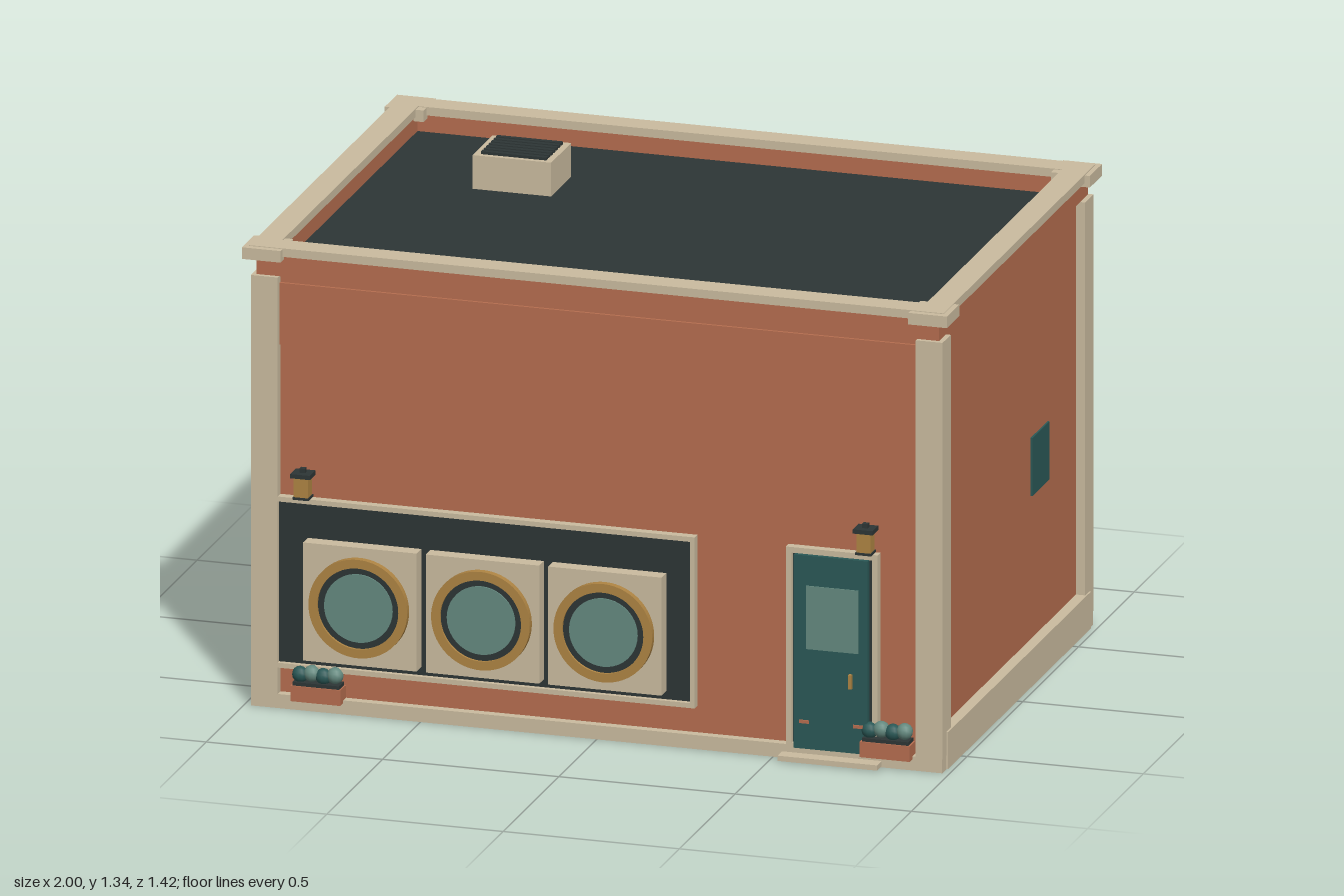
import * as THREE from 'three';

const mat = (name, color) => {
  const m = new THREE.MeshStandardMaterial({ color });
  m.name = name;
  return m;
};

export function createModel() {
  const stone = mat('stone', 0xcabb9f);
  const brick = mat('brick', 0xb56d4f);
  const dark = mat('charcoal', 0x2d3535);
  const teal = mat('teal', 0x2a5856);
  const glass = mat('glass', 0x64897f);
  const gold = mat('brass', 0xae8443);

  const root = new THREE.Group();
  root.name = 'laundryShop';

  const group = (name, x = 0, y = 0, z = 0) => {
    const g = new THREE.Group();
    g.name = name;
    g.position.set(x, y, z);
    root.add(g);
    return g;
  };
  const add = (parent, name, geometry, material) => {
    const m = new THREE.Mesh(geometry, material);
    m.name = name;
    parent.add(m);
    return m;
  };
  // Box given by its limits on each axis
  const box = (parent, name, material, x0, x1, y0, y1, z0, z1) => {
    const m = add(parent, name, new THREE.BoxGeometry(x1 - x0, y1 - y0, z1 - z0), material);
    m.position.set((x0 + x1) / 2, (y0 + y1) / 2, (z0 + z1) / 2);
    return m;
  };
  // Rectangular rim standing on y0, open in the middle
  const rim = (parent, name, material, X, zBack, zFront, w, y0, y1) => {
    for (const s of [-1, 1]) {
      const a = s * X, b = s * (X - w);
      box(parent, name, material, Math.min(a, b), Math.max(a, b), y0, y1, zBack, zFront);
    }
    box(parent, name, material, w - X, X - w, y0, y1, zBack, zBack + w);
    box(parent, name, material, w - X, X - w, y0, y1, zFront - w, zFront);
  };
  // Upright rectangular frame facing z
  const frame = (parent, name, material, x0, x1, y0, y1, z0, z1, w) => {
    box(parent, name, material, x0, x0 + w, y0, y1, z0, z1);
    box(parent, name, material, x1 - w, x1, y0, y1, z0, z1);
    box(parent, name, material, x0 + w, x1 - w, y1 - w, y1, z0, z1);
    box(parent, name, material, x0 + w, x1 - w, y0, y0 + w, z0, z1);
  };

  // Shell: slab, walls, plinths, corner posts
  const shell = group('shell');
  box(shell, 'baseSlab', stone, -0.98, 0.98, 0, 0.04, -0.695, 0.66);
  box(shell, 'walls', brick, -0.955, 0.955, 0.04, 1.23, -0.668, 0.635);
  box(shell, 'signBand', brick, -0.906, 0.906, 1.03, 1.205, 0.63, 0.643);
  for (const s of [-1, 1]) {
    const cx = s * 0.97;
    box(shell, 'sidePlinth', stone, cx - 0.016, cx + 0.016, 0.002, 0.107, -0.655, 0.625);
    for (const [z0, z1] of [[0.586, 0.66], [-0.695, -0.62]]) {
      const px = s * 0.943;
      box(shell, 'cornerPost', stone, px - 0.038, px + 0.038, 0.04, 1.225, z0, z1);
    }
    // Small plate on the side wall
    const wx = s * 0.957;
    box(shell, 'sidePanel', teal, wx - 0.004, wx + 0.004, 0.515, 0.68, -0.365, -0.212);
  }

  // Roof: deck, parapet, coping and corner blocks
  const roof = group('roof');
  box(roof, 'roofDeck', dark, -0.93, 0.93, 1.228, 1.236, -0.65, 0.61);
  rim(roof, 'parapet', brick, 0.968, -0.687, 0.65, 0.05, 1.226, 1.288);
  rim(roof, 'coping', stone, 0.985, -0.7, 0.662, 0.072, 1.286, 1.31);
  for (const s of [-1, 1]) {
    for (const z of [0.625, -0.657]) {
      box(roof, 'copingCorner', stone, s * 0.945 - 0.055, s * 0.945 + 0.055,
        1.275, 1.308, z - 0.055, z + 0.055);
    }
  }

  // Roof vent with dark slats
  const vent = group('roofVent');
  box(vent, 'ventBox', stone, -0.625, -0.402, 1.235, 1.332, -0.383, -0.203);
  for (let i = 0; i < 7; i++) {
    const z = -0.36 + i * 0.0225;
    box(vent, 'ventSlat', dark, -0.606, -0.42, 1.33, 1.34, z - 0.007, z + 0.007);
  }

  // Shop window with its surround
  const shop = group('shopWindow');
  box(shop, 'displayPanel', dark, -0.91, 0.27, 0.125, 0.59, 0.63, 0.646);
  frame(shop, 'windowSurround', stone, -0.92, 0.278, 0.115, 0.602, 0.63, 0.66, 0.014);

  // Three washing machine fronts
  const flatDisc = (r, h) => new THREE.CylinderGeometry(r, r, h, 40).rotateX(Math.PI / 2);
  for (const x of [-0.663, -0.315, 0.032]) {
    const w = group('washer', x, 0.32, 0);
    box(w, 'washerBody', stone, -0.161, 0.161, -0.168, 0.168, 0.64, 0.688);
    const shape = new THREE.Shape().absarc(0, 0, 0.14, 0, Math.PI * 2);
    shape.holes.push(new THREE.Path().absarc(0, 0, 0.115, 0, Math.PI * 2, true));
    const ring = add(w, 'doorRing', new THREE.ExtrudeGeometry(shape,
      { depth: 0.021, bevelEnabled: false, curveSegments: 40 }), gold);
    ring.position.z = 0.686;
    add(w, 'doorSeal', flatDisc(0.116, 0.014), dark).position.z = 0.692;
    add(w, 'doorGlass', flatDisc(0.097, 0.008), glass).position.z = 0.699;
  }

  // Entrance door, casing and step
  const door = group('entrance');
  frame(door, 'doorCasing', stone, 0.537, 0.797, 0.03, 0.602, 0.63, 0.66, 0.016);
  box(door, 'doorRecess', dark, 0.55, 0.785, 0.04, 0.59, 0.63, 0.65);
  box(door, 'doorLeaf', teal, 0.562, 0.771, 0.035, 0.585, 0.64, 0.67);
  box(door, 'doorPane', glass, 0.598, 0.746, 0.32, 0.5, 0.667, 0.673);
  box(door, 'doorHandle', gold, 0.72, 0.729, 0.22, 0.26, 0.668, 0.682);
  for (const x of [0.592, 0.745]) {
    box(door, 'doorFitting', brick, x - 0.014, x + 0.014, 0.108, 0.117, 0.668, 0.674);
  }
  box(door, 'doorStep', stone, 0.526, 0.808, 0.003, 0.018, 0.62, 0.7);

  // Wall lanterns
  for (const x of [-0.83, 0.766]) {
    const l = group('lantern', x, 0, 0);
    box(l, 'lanternBracket', dark, -0.012, 0.012, 0.625, 0.675, 0.63, 0.665);
    box(l, 'lanternBase', dark, -0.023, 0.023, 0.608, 0.615, 0.65, 0.692);
    box(l, 'lanternLight', gold, -0.02, 0.02, 0.615, 0.672, 0.652, 0.69);
    box(l, 'lanternCap', dark, -0.028, 0.028, 0.67, 0.682, 0.645, 0.697);
    box(l, 'lanternFinial', dark, -0.008, 0.008, 0.682, 0.694, 0.662, 0.678);
  }

  // Planters with round bushes
  for (const x of [-0.79, 0.825]) {
    const p = group('planter', x, 0, 0);
    box(p, 'planterBox', brick, -0.071, 0.071, 0.032, 0.076, 0.635, 0.686);
    box(p, 'planterSoil', dark, -0.066, 0.066, 0.074, 0.086, 0.638, 0.682);
    for (let i = 0; i < 4; i++) {
      const bush = add(p, 'bush', new THREE.SphereGeometry(0.023, 12, 8), i % 2 ? glass : teal);
      bush.position.set(-0.05 + i * 0.033, 0.104 + (i % 2) * 0.005, 0.661);
    }
  }

  // Back windows with crossbars and sills
  for (const x of [-0.555, 0.555]) {
    const w = group('backWindow', x, 0, 0);
    frame(w, 'windowFrame', stone, -0.137, 0.137, 0.6, 0.905, -0.692, -0.66, 0.02);
    box(w, 'windowSash', dark, -0.12, 0.12, 0.615, 0.89, -0.682, -0.66);
    for (const sx of [-1, 1]) {
      for (const y of [0.694, 0.822]) {
        box(w, 'windowPane', glass, sx * 0.052 - 0.045, sx * 0.052 + 0.045,
          y - 0.055, y + 0.055, -0.686, -0.68);
      }
    }
    box(w, 'verticalBar', brick, -0.008, 0.008, 0.633, 0.885, -0.704, -0.68);
    box(w, 'horizontalBar', brick, -0.11, 0.11, 0.75, 0.766, -0.704, -0.68);
    box(w, 'windowSill', stone, -0.155, 0.155, 0.582, 0.604, -0.706, -0.66);
  }
  return root;
}
